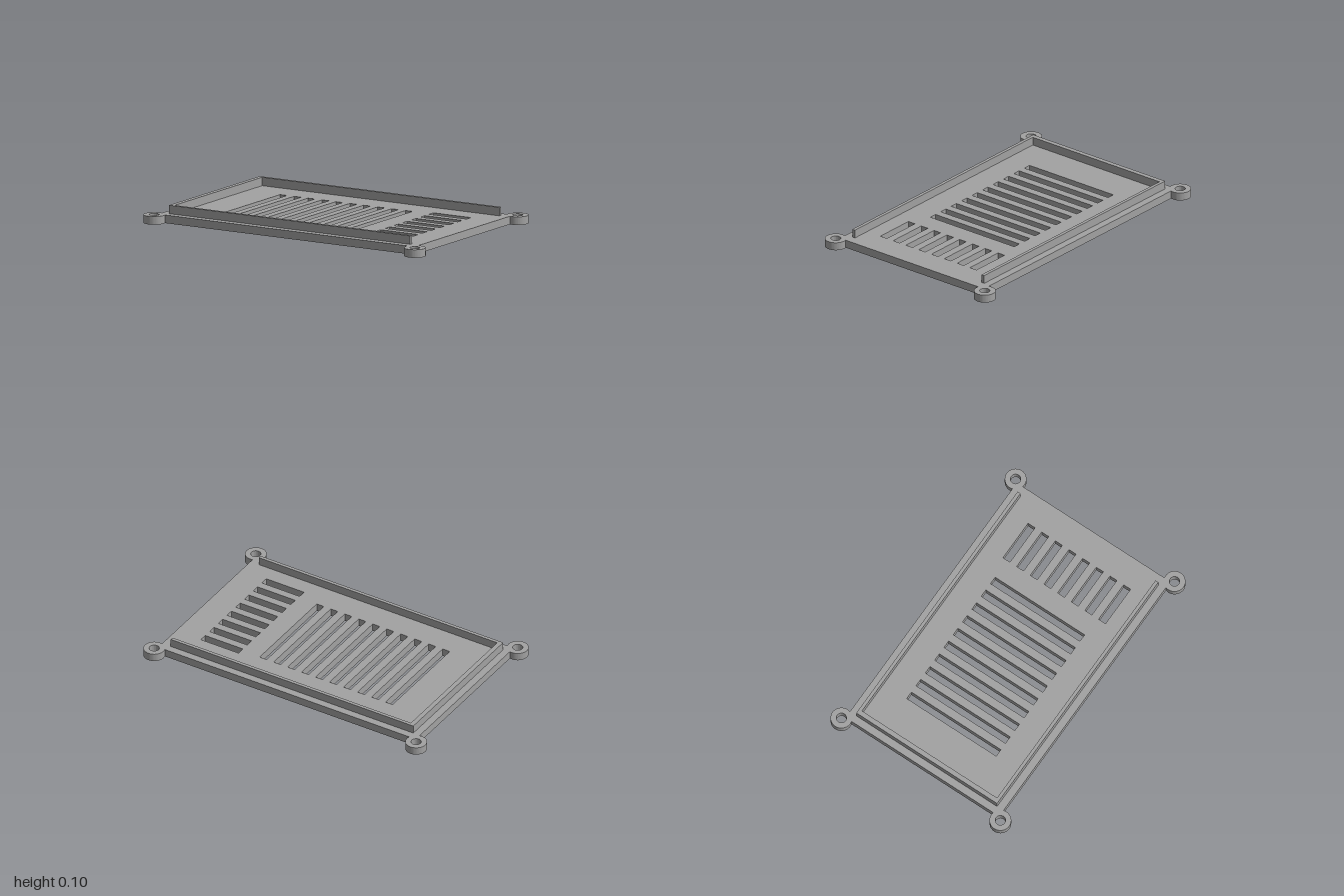
import * as THREE from 'three';
import { toCreasedNormals } from 'three/addons/utils/BufferGeometryUtils.js';

const PLATE = { x: 0.918, z: 0.564, h: 0.05 };
const LUG = { x: 0.934, z: 0.584, r: 0.066, hole: 0.031 };
const RIM_TOP = 0.102;

// Closed rectangular path used for a slot
function slot(x0, x1, z0, z1) {
  return new THREE.Path([[x0, z0], [x0, z1], [x1, z1], [x1, z0]].map(p => new THREE.Vector2(...p)));
}

// Extrude a floor-plan shape (x, z) upwards from y0 to y1
function extrudeUp(shape, y0, y1) {
  const g = new THREE.ExtrudeGeometry(shape, { depth: y1 - y0, bevelEnabled: false, curveSegments: 24 });
  g.rotateX(Math.PI / 2);
  g.translate(0, y1, 0);
  return toCreasedNormals(g, 0.5);
}

export function createModel() {
  const model = new THREE.Group();
  model.name = 'ventedCover';
  const grey = new THREE.MeshStandardMaterial({ color: 0xa2a2a2 });
  grey.name = 'grey';
  const add = (name, geometry) => {
    const mesh = new THREE.Mesh(geometry, grey);
    mesh.name = name;
    model.add(mesh);
  };

  // Base plate outline: a rectangle whose corners swell into round screw lugs
  const a = -Math.PI / 2 - Math.asin((LUG.x - PLATE.x) / LUG.r);
  const b = Math.PI + Math.asin((LUG.z - PLATE.z) / LUG.r);
  const corners = [
    [1, 1, a, b],
    [-1, 1, Math.PI - b, Math.PI - a],
    [-1, -1, a + Math.PI, b + Math.PI],
    [1, -1, -b, -a],
  ];
  const base = new THREE.Shape();
  for (const [sx, sz, start, end] of corners) {
    base.absarc(sx * LUG.x, sz * LUG.z, LUG.r, start, end, false);
    const hole = new THREE.Path();
    hole.absarc(sx * LUG.x, sz * LUG.z, LUG.hole, 0, Math.PI * 2, true);
    base.holes.push(hole);
  }
  base.closePath();

  // Ten long vents and eight short vents
  for (let i = 0; i < 10; i++) {
    const x = -0.607 + i * 0.0998;
    base.holes.push(slot(x, x + 0.05, -0.328, 0.329));
  }
  for (let i = 0; i < 8; i++) {
    const z = -0.36 + i * 0.1003;
    base.holes.push(slot(0.472, 0.741, z, z + 0.051));
  }
  add('basePlate', extrudeUp(base, 0, PLATE.h));

  // Raised rim on three sides, open on the left
  const rim = new THREE.Shape([
    [0.858, -0.517], [0.858, -0.496], [-0.842, -0.496], [-0.842, 0.496],
    [0.858, 0.496], [0.858, 0.517], [-0.872, 0.517], [-0.872, -0.517],
  ].map(p => new THREE.Vector2(...p)));
  add('rim', extrudeUp(rim, PLATE.h, RIM_TOP));

  return model;
}
